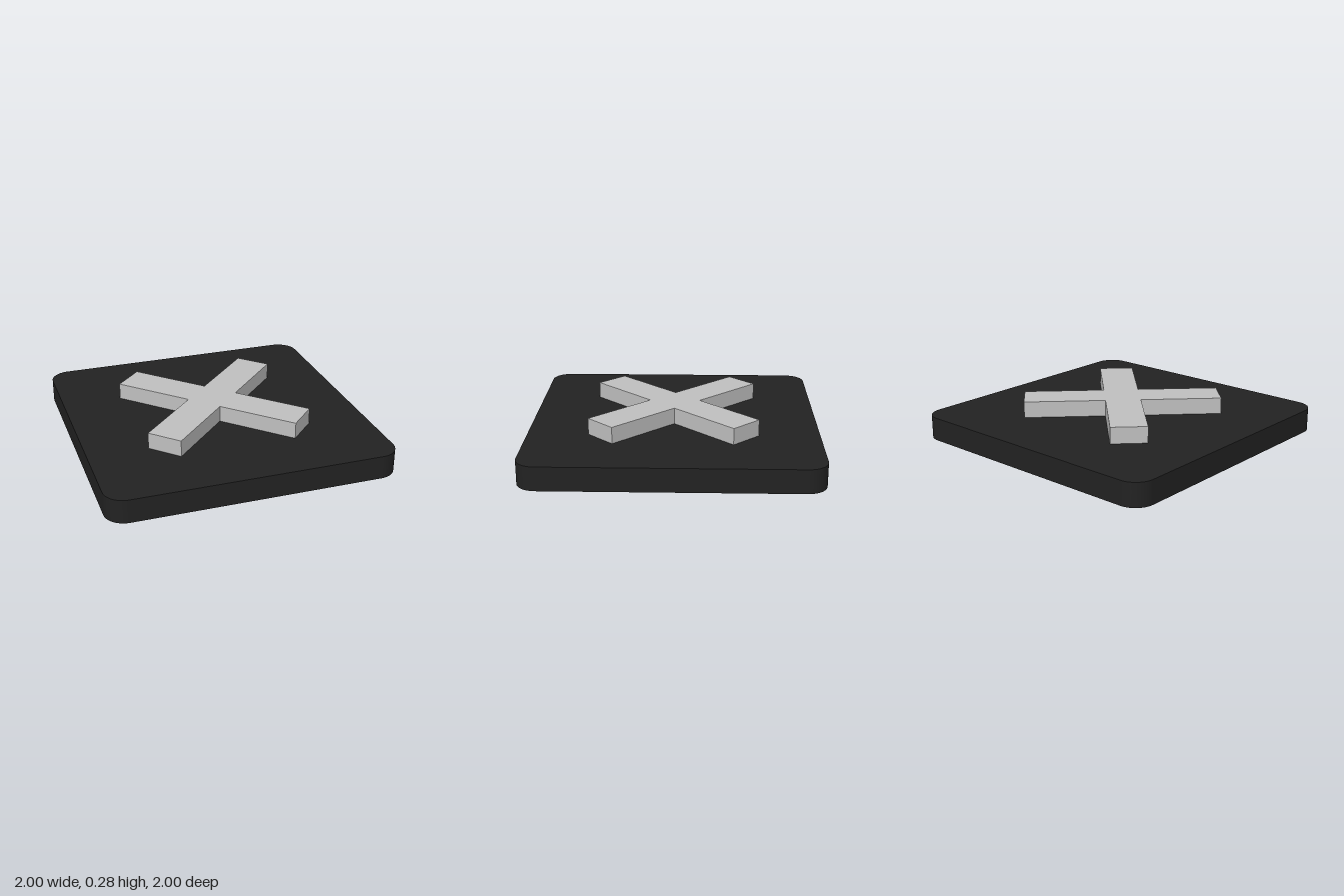
import * as THREE from 'three';
import { toCreasedNormals } from 'three/addons/utils/BufferGeometryUtils.js';

const BASE_HEIGHT = 0.165;
const CROSS_HEIGHT = 0.115;

// Extrudes a plan outline upward from y = 0
function slab(shape, height) {
  const geometry = new THREE.ExtrudeGeometry(shape, { depth: height, bevelEnabled: false, curveSegments: 12 });
  geometry.rotateX(-Math.PI / 2);
  return toCreasedNormals(geometry, Math.PI / 6);
}

// Square outline with rounded corners
function roundedSquare(half, radius) {
  const shape = new THREE.Shape();
  const c = half - radius;
  for (let i = 0; i < 4; i++) {
    const a = (i * Math.PI) / 2;
    const x = i === 0 || i === 3 ? c : -c;
    const y = i < 2 ? c : -c;
    shape.absarc(x, y, radius, a, a + Math.PI / 2, false);
  }
  shape.closePath();
  return shape;
}

// Diagonal cross outline: each arm adds two tip corners and one inner corner
function diagonalCross(reach, halfWidth) {
  const points = [];
  for (let i = 0; i < 4; i++) {
    const turn = Math.PI / 4 + (i * Math.PI) / 2;
    for (const [x, y] of [[reach, -halfWidth], [reach, halfWidth], [halfWidth, halfWidth]]) {
      points.push(new THREE.Vector2(x, y).rotateAround(new THREE.Vector2(), turn));
    }
  }
  return new THREE.Shape(points);
}

export function createModel() {
  const black = new THREE.MeshStandardMaterial({ color: 0x222222 });
  black.name = 'black';
  const lightGrey = new THREE.MeshStandardMaterial({ color: 0xc0c0c0 });
  lightGrey.name = 'lightGrey';

  // Rounded square tile
  const base = new THREE.Mesh(slab(roundedSquare(1, 0.14), BASE_HEIGHT), black);
  base.name = 'base';

  // Raised cross on top of the tile
  const cross = new THREE.Mesh(slab(diagonalCross(0.697, 0.125), CROSS_HEIGHT), lightGrey);
  cross.name = 'cross';
  cross.position.y = BASE_HEIGHT;

  const model = new THREE.Group();
  model.name = 'crossTile';
  model.add(base, cross);
  return model;
}
